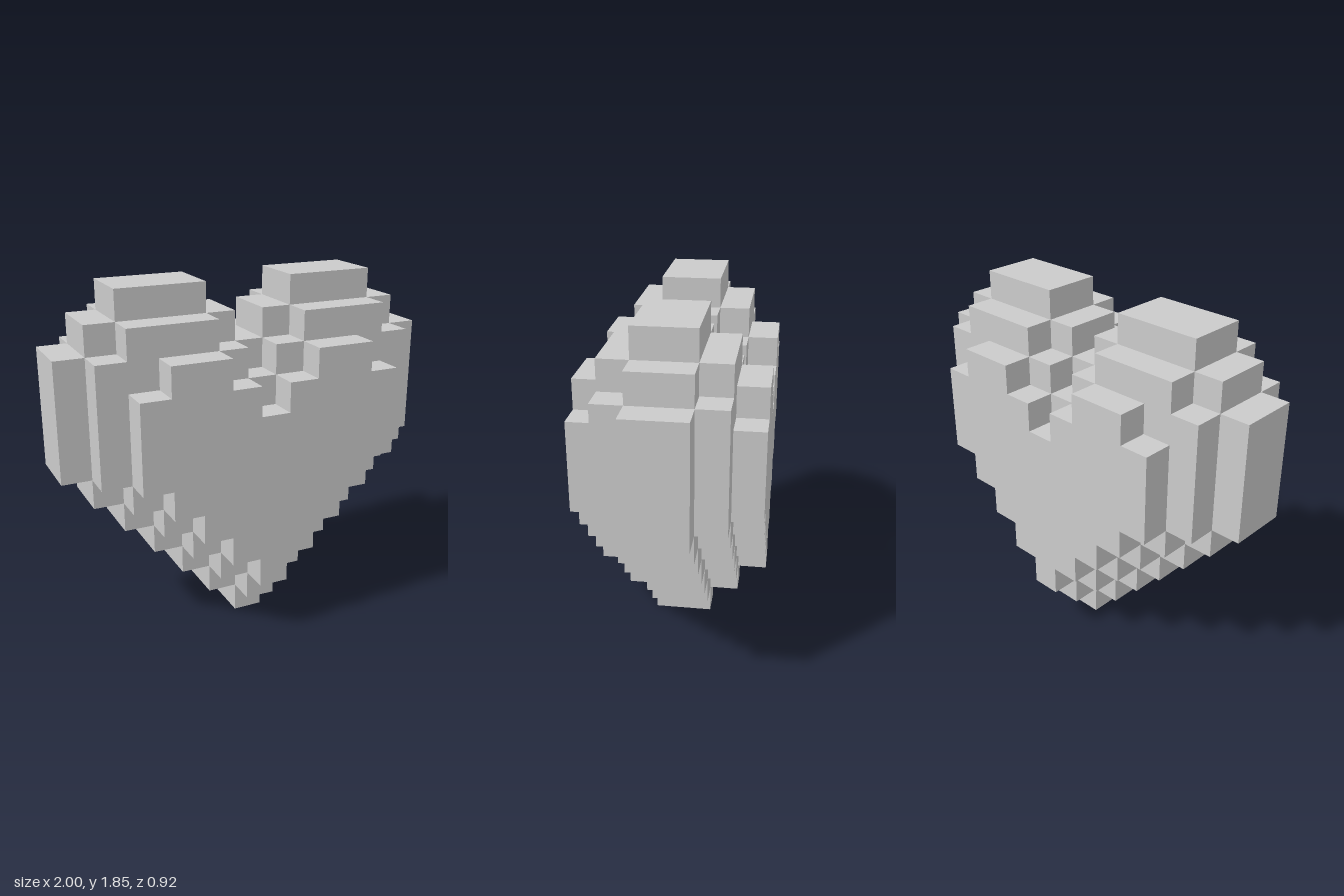
import * as THREE from 'three';

const U = 2 / 13; // edge length of one block

// Right half of each layer, in blocks: a staircase from the tip, then the lobe and notch corners.
const layers = [
  { name: 'coreLayer', start: 0, depth: 2,
    lobe: [[6.5, 10], [5.5, 10], [5.5, 11], [4.5, 11], [4.5, 12], [1.5, 12], [1.5, 11], [0.5, 11], [0.5, 10]] },
  { name: 'middleLayer', start: 1, depth: 4,
    lobe: [[5.5, 10], [4.5, 10], [4.5, 11], [1.5, 11], [1.5, 10], [0.5, 10], [0.5, 9]] },
  { name: 'faceLayer', start: 2, depth: 6,
    lobe: [[4.5, 9], [3.5, 9], [3.5, 10], [1.5, 10], [1.5, 9], [0.5, 9], [0.5, 8]] },
];

function heartShape({ start, lobe }) {
  const half = [];
  // Lower staircase: each row is one block wider per side
  for (let y = start; y <= 6; y++) {
    const x = y - start + 0.5;
    half.push([x, y]);
    if (y < 6) half.push([x, y + 1]);
  }
  half.push(...lobe);
  // Mirror to the other side
  const mirrored = half.map(([x, y]) => [-x, y]).reverse();
  return new THREE.Shape([...half, ...mirrored].map(([x, y]) => new THREE.Vector2(x * U, y * U)));
}

export function createModel() {
  const heart = new THREE.Group();
  heart.name = 'blockHeart';
  const material = new THREE.MeshStandardMaterial({ color: 0xcccccc, flatShading: true });

  // Nested layers: the thicker the layer, the smaller its outline
  for (const layer of layers) {
    const depth = layer.depth * U;
    const geometry = new THREE.ExtrudeGeometry(heartShape(layer), { depth, bevelEnabled: false });
    geometry.translate(0, 0, -depth / 2);
    const mesh = new THREE.Mesh(geometry, material);
    mesh.name = layer.name;
    heart.add(mesh);
  }
  return heart;
}
